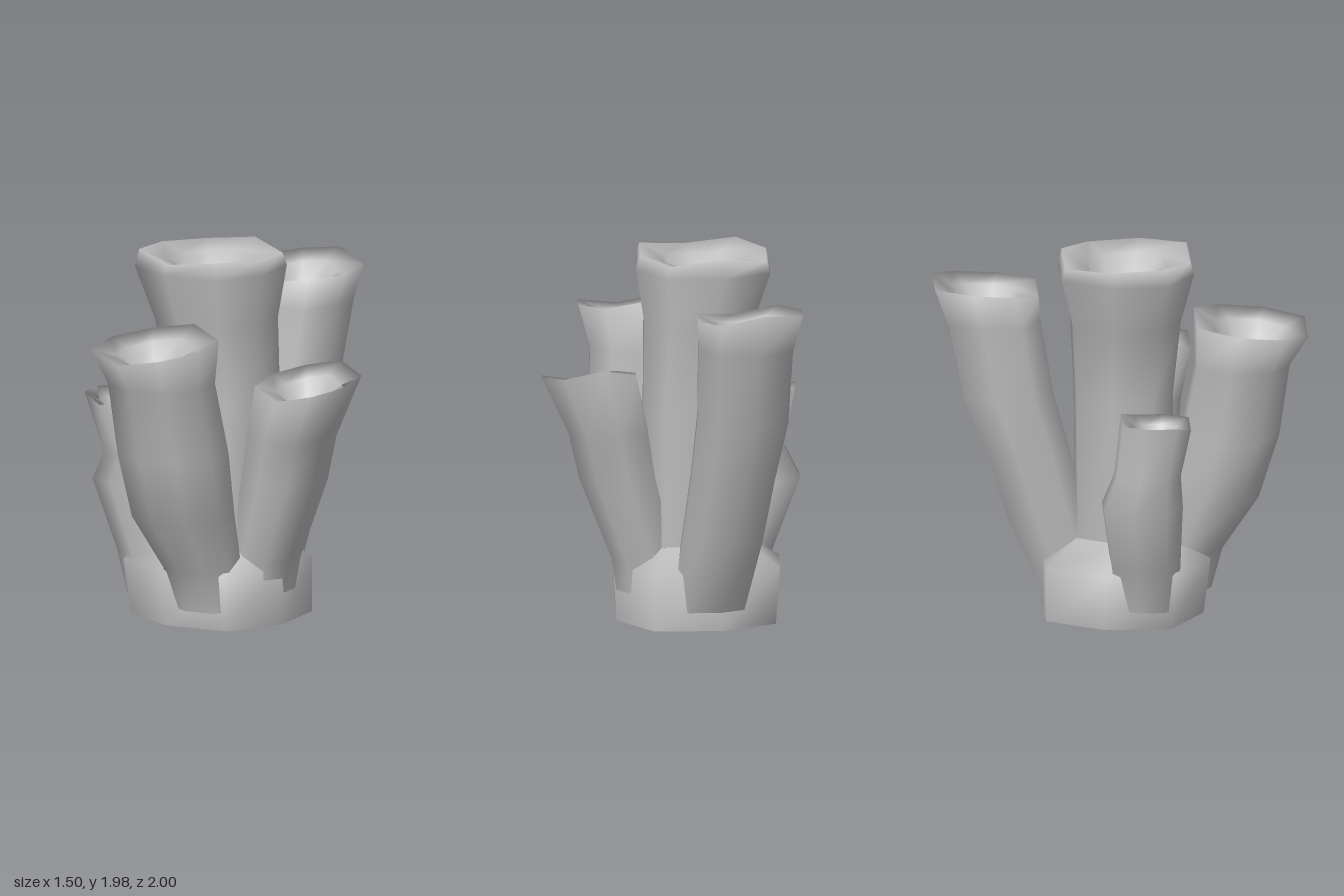
import * as THREE from 'three';

const SIDES = 8;

// Squarish ring of points; a tilted plane and a wave shape its height
function ring([y, x, z, r], tiltX = 0, tiltZ = 0, wave = 0) {
  const soft = (v) => r * Math.sign(v) * Math.pow(Math.abs(v), 0.75);
  return Array.from({ length: SIDES }, (_, i) => {
    const a = (i / SIDES) * Math.PI * 2;
    const dx = soft(Math.cos(a)), dz = soft(Math.sin(a));
    return [x + dx, y + dx * tiltX + dz * tiltZ + wave * Math.sin(3 * a), z + dz];
  });
}

// Smooth skin over successive rings
function loft(name, rings, material) {
  const index = [];
  for (let r = 0; r < rings.length - 1; r++) {
    for (let i = 0; i < SIDES; i++) {
      const a = r * SIDES + i, b = r * SIDES + ((i + 1) % SIDES);
      index.push(a, a + SIDES, b, b, a + SIDES, b + SIDES);
    }
  }
  const geo = new THREE.BufferGeometry();
  geo.setAttribute('position', new THREE.Float32BufferAttribute(rings.flat(2), 3));
  geo.setIndex(index);
  geo.computeVertexNormals();
  const mesh = new THREE.Mesh(geo, material);
  mesh.name = name;
  return mesh;
}

// Leaning tube with a thick lip and a hollow mouth; the last section is the rim
function tube(name, sections, tiltX, tiltZ, material) {
  const [y, x, z, r] = sections.at(-1);
  const lip = (scale, drop) => ring([y - drop, x, z, r * scale], tiltX, tiltZ, 0.02 * scale);
  return loft(name, [
    ...sections.slice(0, -1).map((s) => ring(s)),
    lip(1, 0), lip(0.62, 0.04), lip(0.48, 0.17), lip(0, 0.22),
  ], material);
}

export function createModel() {
  const group = new THREE.Group();
  group.name = 'tubeCluster';
  const body = new THREE.MeshStandardMaterial({ color: 0xbcbcbc });
  body.name = 'stoneGrey';

  // Sections are [height, centre x, centre z, radius]
  const foot = [0, -0.11, 0.02, 0.44];
  group.add(
    // Rounded base with a flat underside
    loft('base', [
      ring([0, -0.11, 0.02, 0]), ring(foot), ring(foot),
      ring([0.3, -0.12, 0.04, 0.46]),
      ring([0.42, -0.1, 0.03, 0.28]),
      ring([0.44, -0.1, 0.03, 0]),
    ], body),

    // Tall flared tube in the middle
    tube('centreTube', [
      [0.15, -0.08, 0.03, 0.27], [1.2, -0.09, 0.02, 0.27],
      [1.6, -0.13, 0.04, 0.3], [1.88, -0.16, 0.05, 0.37], [1.96, -0.16, 0.05, 0.35],
    ], 0, 0, body),

    // Four tubes leaning outward
    tube('frontTube', [
      [0.1, 0.04, 0.27, 0.2], [0.32, 0.04, 0.34, 0.19], [0.62, 0.03, 0.48, 0.25],
      [0.97, 0.04, 0.57, 0.27], [1.36, 0.02, 0.64, 0.26], [1.58, 0.02, 0.69, 0.31],
    ], 0, -0.14, body),
    tube('backTube', [
      [0.1, -0.1, -0.23, 0.2], [0.5, -0.13, -0.39, 0.22], [0.85, -0.16, -0.48, 0.23],
      [1.18, -0.18, -0.59, 0.25], [1.58, -0.17, -0.67, 0.26], [1.76, -0.18, -0.71, 0.29],
    ], -0.05, -0.1, body),
    tube('leftTube', [
      [0.1, 0.15, 0.02, 0.17], [0.34, 0.18, 0.01, 0.18], [0.78, 0.33, 0.01, 0.21],
      [1.03, 0.38, 0.01, 0.22], [1.34, 0.49, 0, 0.26],
    ], 0, -0.2, body),
    tube('rightTube', [
      [0.1, -0.36, 0.2, 0.18], [0.34, -0.41, 0.21, 0.19], [0.7, -0.53, 0.22, 0.22],
      [0.86, -0.49, 0.24, 0.18], [1.17, -0.56, 0.3, 0.19],
    ], -0.05, -0.08, body),
  );
  return group;
}
